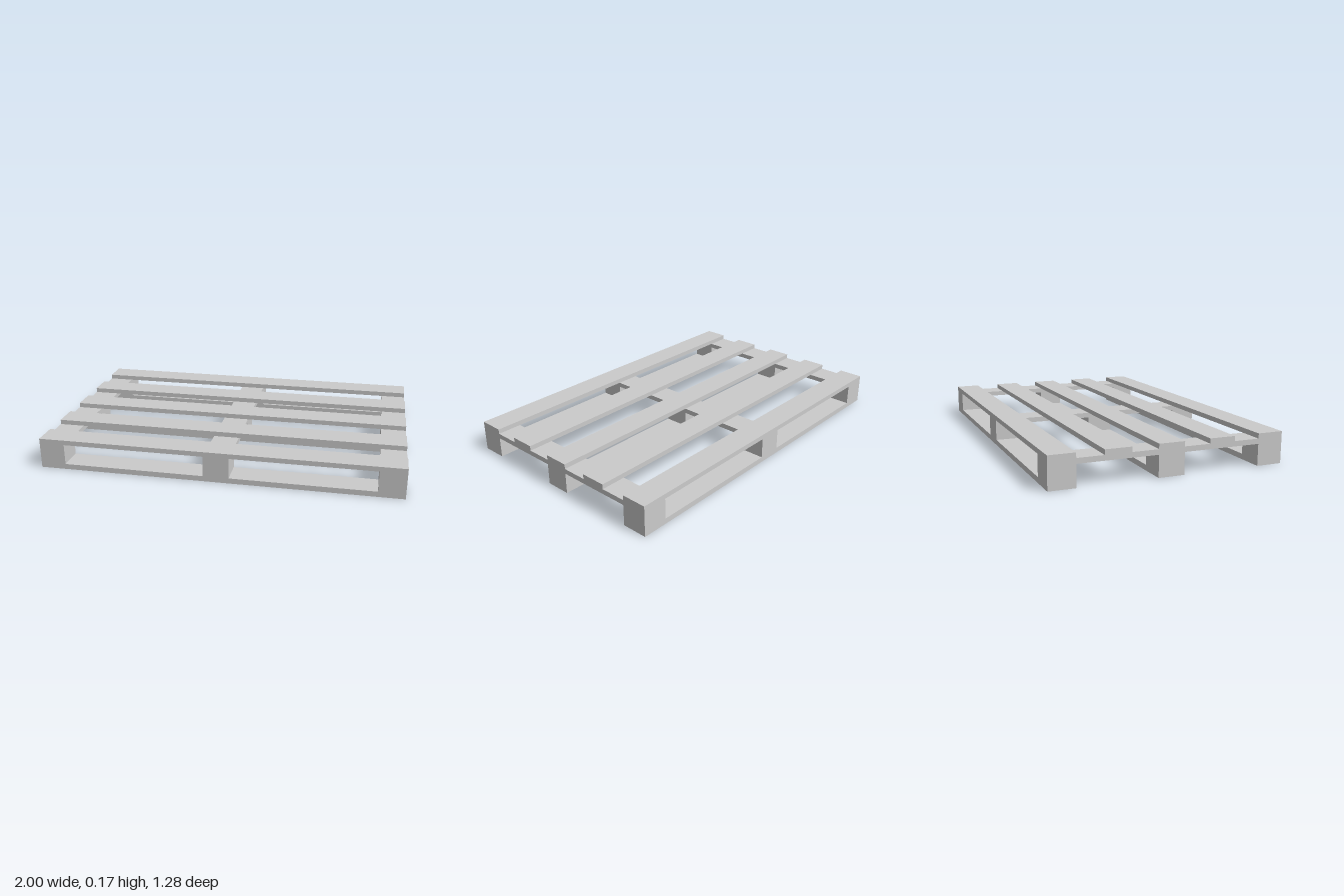
import * as THREE from 'three';

const LENGTH = 2, HEIGHT = 0.172, BOARD = 0.142;
const BOTTOM = 0.03;                         // thickness of the bottom boards
const STRINGER_Y = 0.117, DECK_Y = 0.145;    // undersides of stringers and deck boards
const RUNNER_Z = 0.569;                      // centre of the outer runners

const material = new THREE.MeshStandardMaterial({ color: 0xcccccc, flatShading: true });

function addMesh(parent, name, geometry, x, y, z) {
  const mesh = new THREE.Mesh(geometry, material);
  mesh.name = name;
  mesh.position.set(x, y, z);
  parent.add(mesh);
}

function rectangle(path, x0, y0, x1, y1) {
  path.moveTo(x0, y0);
  path.lineTo(x1, y0);
  path.lineTo(x1, y1);
  path.lineTo(x0, y1);
  path.closePath();
  return path;
}

// Bottom board, three blocks and top board as one frame with two fork openings
function runnerGeometry() {
  const half = LENGTH / 2;
  const shape = rectangle(new THREE.Shape(), -half, 0, half, HEIGHT);
  const inner = BOARD / 2, outer = half - BOARD;
  shape.holes.push(rectangle(new THREE.Path(), inner, BOTTOM, outer, DECK_Y));
  shape.holes.push(rectangle(new THREE.Path(), -outer, BOTTOM, -inner, DECK_Y));
  const geometry = new THREE.ExtrudeGeometry(shape, { depth: BOARD, bevelEnabled: false });
  return geometry.translate(0, 0, -BOARD / 2);
}

export function createModel() {
  const pallet = new THREE.Group();
  pallet.name = 'pallet';

  // Front, middle and back runners
  const runner = runnerGeometry();
  ['backRunner', 'middleRunner', 'frontRunner'].forEach((name, i) =>
    addMesh(pallet, name, runner, 0, 0, (i - 1) * RUNNER_Z));

  const deckThickness = HEIGHT - DECK_Y;
  const deckBoard = new THREE.BoxGeometry(LENGTH, deckThickness, BOARD);
  const stringerHeight = DECK_Y - STRINGER_Y;
  const stringer = new THREE.BoxGeometry(BOARD, stringerHeight, RUNNER_Z - BOARD);

  for (const side of [-1, 1]) {
    const z = side * RUNNER_Z / 2;
    const end = side > 0 ? 'front' : 'back';

    // Deck board halfway between two runners
    addMesh(pallet, `${end}DeckBoard`, deckBoard, 0, DECK_Y + deckThickness / 2, z);

    // Cross stringers carrying it, joining the runner blocks
    ['right', 'middle', 'left'].forEach((name, i) =>
      addMesh(pallet, `${end}Stringer ${name}`, stringer,
        (i - 1) * (LENGTH - BOARD) / 2, STRINGER_Y + stringerHeight / 2, z));
  }
  return pallet;
}
